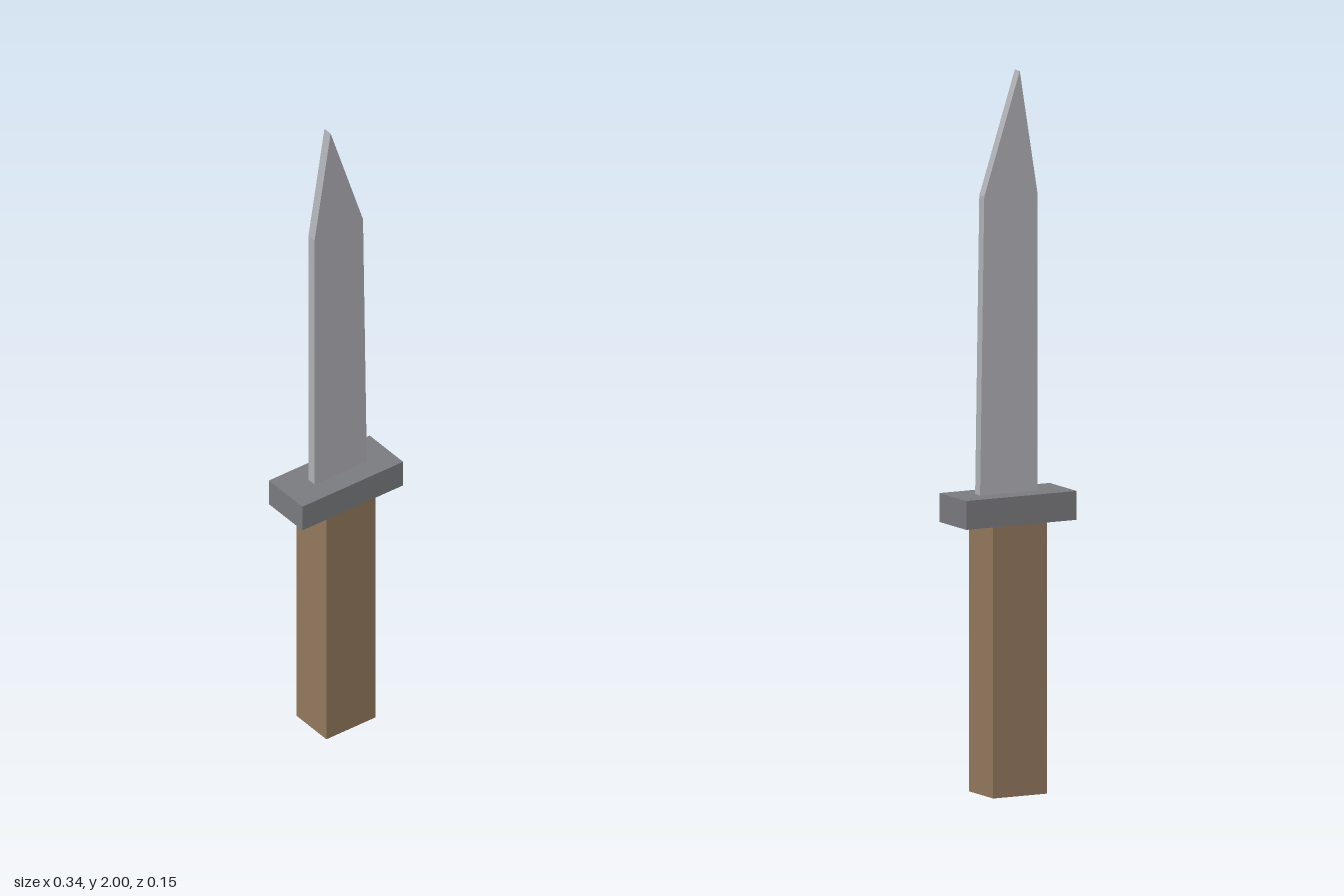
import * as THREE from 'three';

export function createModel() {
  const model = new THREE.Group();

  const add = (name, geometry, color) => {
    const material = new THREE.MeshStandardMaterial({ color, flatShading: true });
    const mesh = new THREE.Mesh(geometry, material);
    mesh.name = name;
    model.add(mesh);
    return mesh;
  };

  // Wooden grip, standing on the ground
  const gripHeight = 0.753;
  add('handle', new THREE.BoxGeometry(0.168, gripHeight, 0.136), 0x967a5f).position.y = gripHeight / 2;

  // Cross guard between grip and blade
  const guardHeight = 0.08;
  const guardTop = gripHeight + guardHeight;
  add('guard', new THREE.BoxGeometry(0.345, guardHeight, 0.152), 0x7c7d81).position.y = gripHeight + guardHeight / 2;

  // Flat blade: straight back, slightly tapering edge, off-centre point
  const thickness = 0.028;
  const outline = new THREE.Shape([
    [-0.084, guardTop],
    [0.095, guardTop],
    [0.082, 1.66],
    [-0.029, 2],
    [-0.084, 1.66],
  ].map(([x, y]) => new THREE.Vector2(x, y)));
  const blade = new THREE.ExtrudeGeometry(outline, { depth: thickness, bevelEnabled: false });
  add('blade', blade, 0xb3b4b9).position.z = -thickness / 2;

  return model;
}
